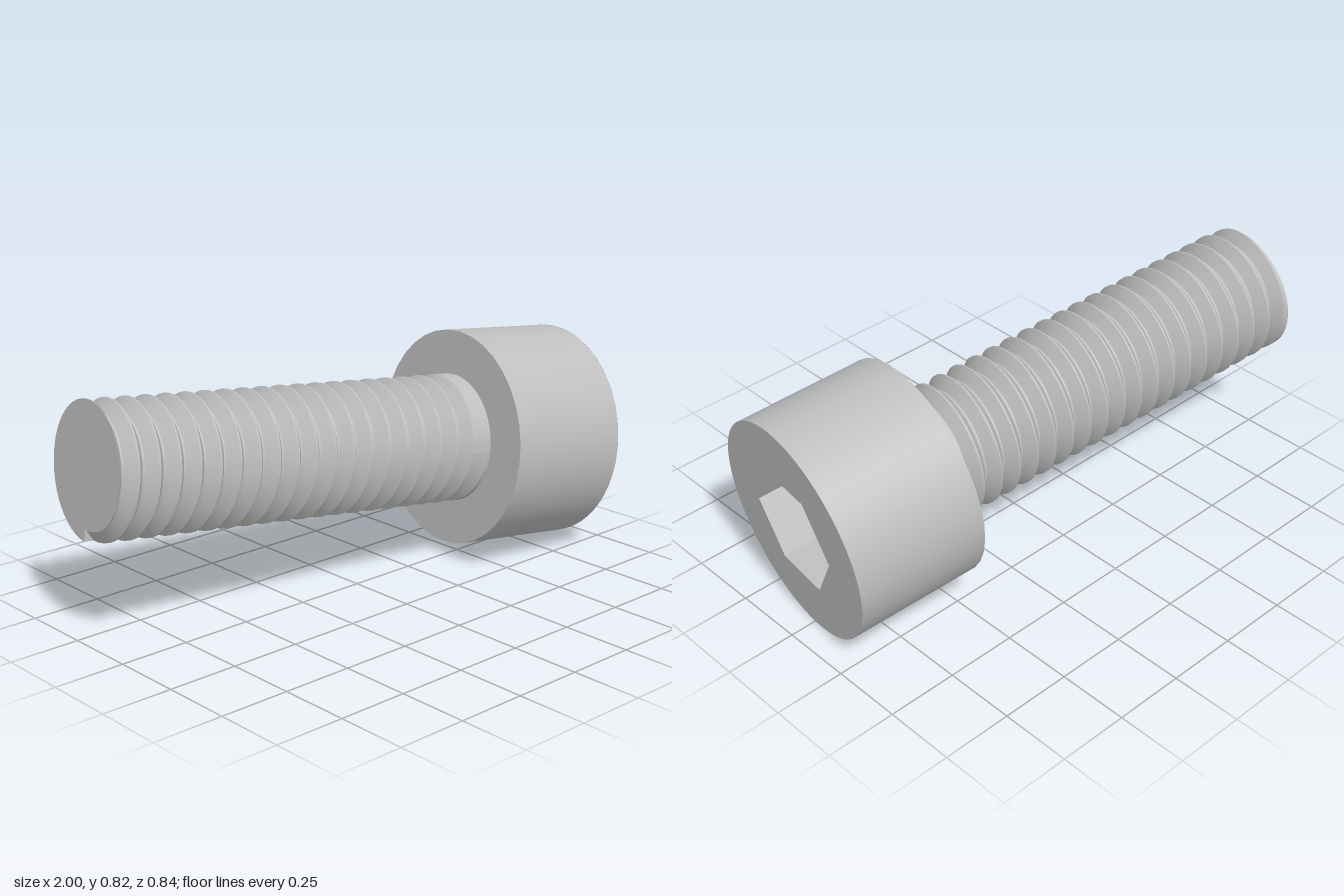
import * as THREE from 'three';
import { toCreasedNormals } from 'three/addons/utils/BufferGeometryUtils.js';

const HEAD_R = 0.387, HEAD_BACK = -0.467;
const SOCKET_R = 0.211, SOCKET_DEPTH = 0.205;
const SHANK_R = 0.23, ROOT_R = 0.19, TIP = -1.928;
const PITCH = 0.0737, TURNS = 19.25;

// Shank with a left-handed V groove that starts at the tip and stops short of the head
function threadedShank() {
  const cols = [0.2501, 0.9999];
  for (let i = 0; i <= 48; i++) cols.push(i / 48);
  cols.sort((a, b) => a - b);

  const rows = [];
  for (let k = 0; k <= 21; k++) for (const o of [-0.46, -0.05, 0.05, 0.46]) rows.push(k + o);

  const pos = [], index = [];
  const radiusAt = (v, f) => {
    const k = Math.round(v), turn = k - 1 + f;
    if (turn < 0 || turn > TURNS) return SHANK_R;
    const t = THREE.MathUtils.clamp((Math.abs(v - k) - 0.05) / 0.41, 0, 1);
    return ROOT_R + (SHANK_R - ROOT_R) * t;
  };
  const put = (s, r, f) => {
    const a = Math.PI - f * 2 * Math.PI;
    pos.push(s, r * Math.cos(a), r * Math.sin(a));
  };
  // first row closes the tip; the others follow the helix, clamped at both ends
  for (const f of cols) put(TIP, 0, f);
  for (const row of rows) {
    for (const f of cols) {
      const v = THREE.MathUtils.clamp(row, 1 - f, (HEAD_BACK - TIP) / PITCH + 1 - f);
      put(TIP + PITCH * (v - 1 + f), radiusAt(v, f), f);
    }
  }
  const n = cols.length;
  for (let i = 0; i < rows.length; i++) {
    for (let j = 0; j < n - 1; j++) {
      const a = i * n + j, b = a + n;
      index.push(a, b, a + 1, b, b + 1, a + 1);
    }
  }
  const geo = new THREE.BufferGeometry();
  geo.setAttribute('position', new THREE.Float32BufferAttribute(pos, 3));
  geo.setIndex(index);
  return toCreasedNormals(geo, 0.5);
}

export function createModel() {
  const steel = new THREE.MeshStandardMaterial({ color: 0xbfbfbf, side: THREE.DoubleSide });
  steel.name = 'steel grey';

  // The bolt is built along its own x axis, with the head's outer face at x = 0
  const bolt = new THREE.Group();
  bolt.name = 'bolt';
  const add = (name, geo, x = 0) => {
    const mesh = new THREE.Mesh(geo, steel);
    mesh.name = name;
    mesh.position.x = x;
    bolt.add(mesh);
  };

  add('threadedShank', threadedShank());

  // Head: side wall, underside and outer face with a hexagonal opening
  add('headWall', new THREE.CylinderGeometry(HEAD_R, HEAD_R, -HEAD_BACK, 36, 1, true)
    .rotateZ(-Math.PI / 2), HEAD_BACK / 2);
  add('headUnderside', new THREE.CircleGeometry(HEAD_R, 36).rotateY(-Math.PI / 2), HEAD_BACK);

  const corners = [];
  for (let i = 0; i < 6; i++) {
    const a = i * Math.PI / 3;
    corners.push(new THREE.Vector2(SOCKET_R * Math.cos(a), SOCKET_R * Math.sin(a)));
  }
  const face = new THREE.Shape().absarc(0, 0, HEAD_R, 0, Math.PI * 2);
  face.holes.push(new THREE.Path(corners));
  add('headFace', new THREE.ShapeGeometry(face, 36).rotateY(Math.PI / 2));

  // Hex socket: flat walls and floor
  const walls = new THREE.CylinderGeometry(SOCKET_R, SOCKET_R, SOCKET_DEPTH, 6, 1, true)
    .rotateZ(-Math.PI / 2).toNonIndexed();
  walls.computeVertexNormals();
  add('socketWalls', walls, -SOCKET_DEPTH / 2);
  add('socketFloor', new THREE.ShapeGeometry(new THREE.Shape(corners)).rotateY(Math.PI / 2), -SOCKET_DEPTH);

  // Tilt the axis slightly down and forward towards the head
  const axis = new THREE.Vector3(1, -0.103, 0.117).normalize();
  const side = new THREE.Vector3().crossVectors(axis, new THREE.Vector3(0, 1, 0)).normalize();
  const up = new THREE.Vector3().crossVectors(side, axis);
  bolt.quaternion.setFromRotationMatrix(new THREE.Matrix4().makeBasis(axis, up, side));
  bolt.position.set(0.94, 0.387, 0.026);

  const model = new THREE.Group();
  model.name = 'socketHeadBolt';
  model.add(bolt);
  return model;
}
